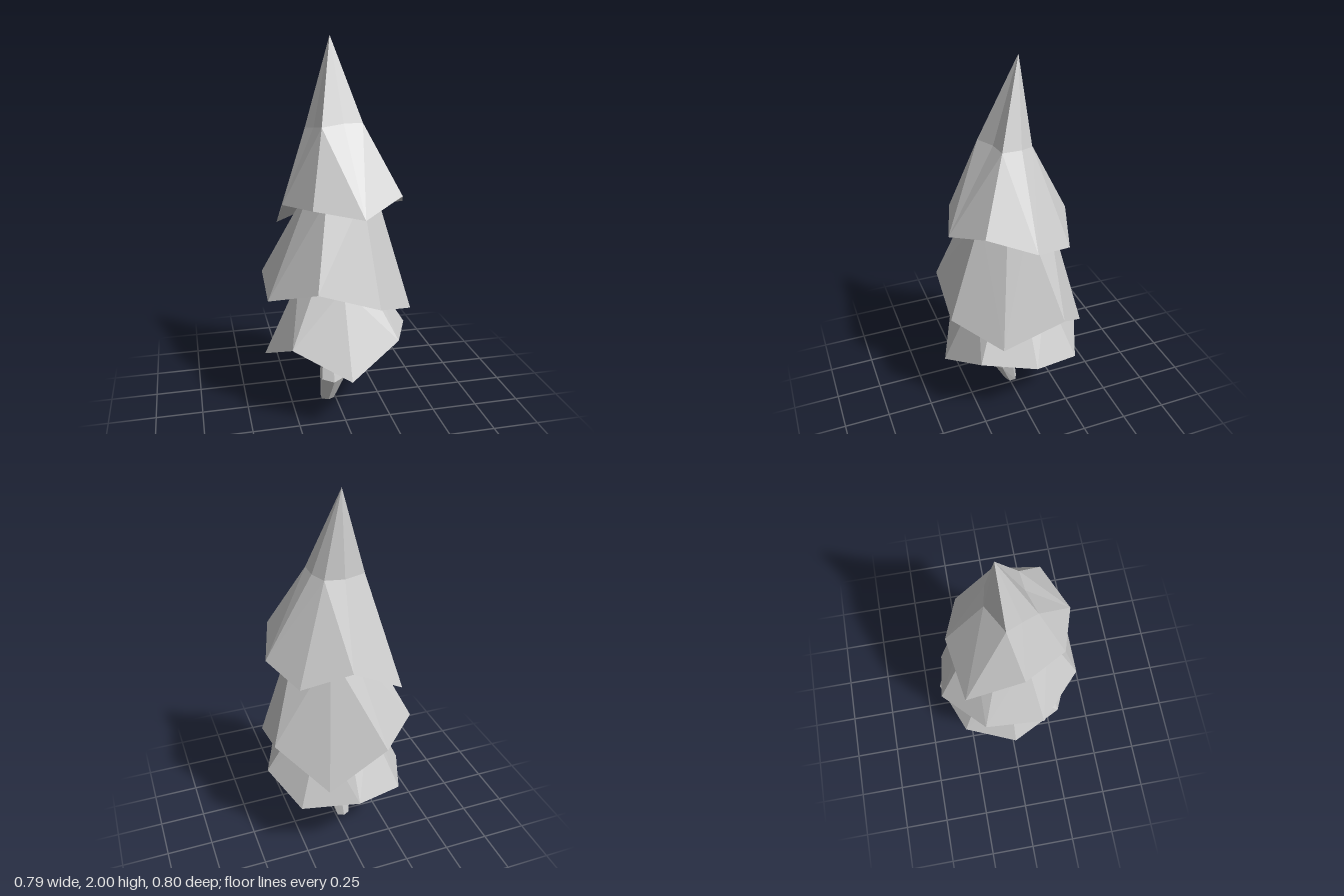
import * as THREE from 'three';

const material = new THREE.MeshStandardMaterial({ color: 0xcccccc, flatShading: true });

// Repeat one point so a ring closes to a tip
const tip = (n, x, y, z) => Array.from({ length: n }, () => [x, y, z]);

// Regular ring of n points; tilt lowers or raises the +z side
function circle(n, cx, y, cz, rx, rz = rx, tilt = 0) {
  return Array.from({ length: n }, (_, i) => {
    const a = (i / n) * Math.PI * 2;
    return [cx + rx * Math.sin(a), y - tilt * Math.cos(a), cz - rz * Math.cos(a)];
  });
}

// True when point s lies in front of triangle p, q, r
function inFront(p, q, r, s) {
  const [P, Q, R, S] = [p, q, r, s].map((v) => new THREE.Vector3(...v));
  return Q.sub(P).cross(R.sub(P)).dot(S.sub(P)) > 0;
}

// Flat-shaded skin through rings listed from bottom to top
function loft(name, rings) {
  const positions = [];
  const same = (p, q) => p.every((v, k) => v === q[k]);
  const tri = (p, q, r) => {
    if (!same(p, q) && !same(q, r) && !same(p, r)) positions.push(...p, ...q, ...r);
  };
  for (let k = 0; k < rings.length - 1; k++) {
    const a = rings[k], b = rings[k + 1], n = a.length;
    for (let i = 0; i < n; i++) {
      const j = (i + 1) % n;
      // Split each quad along its outward-bulging diagonal
      if (inFront(a[j], a[i], b[i], b[j])) {
        tri(a[j], a[i], b[j]);
        tri(a[i], b[i], b[j]);
      } else {
        tri(a[j], a[i], b[i]);
        tri(a[j], b[i], b[j]);
      }
    }
  }
  const geometry = new THREE.BufferGeometry();
  geometry.setAttribute('position', new THREE.Float32BufferAttribute(positions, 3));
  geometry.computeVertexNormals();
  const mesh = new THREE.Mesh(geometry, material);
  mesh.name = name;
  return mesh;
}

// Foliage tier: hollow underside, jagged rim, shoulder ring, tip
function tier(name, under, rim, shoulder, top) {
  return loft(name, [tip(8, ...under), rim, shoulder, tip(8, ...top)]);
}

export function createModel() {
  const tree = new THREE.Group();
  tree.name = 'pineTree';

  // Crooked trunk
  tree.add(loft('trunk', [
    tip(6, -0.045, 0, -0.015),
    circle(6, -0.045, 0, -0.015, 0.04, 0.036),
    circle(6, -0.027, 0.17, 0.035, 0.073, 0.06, -0.025),
    circle(6, -0.017, 0.38, -0.02, 0.054, 0.035),
    circle(6, -0.005, 0.5, -0.04, 0.045, 0.03),
    tip(6, -0.005, 0.5, -0.04),
  ]));

  // Bottom tier
  tree.add(tier('lowerFoliage', [0, 0.45, -0.02],
    [[0, 0.405, -0.4], [0.285, 0.35, -0.275], [0.395, 0.435, 0], [0.28, 0.455, 0.275],
      [0, 0.31, 0.4], [-0.285, 0.455, 0.27], [-0.395, 0.32, 0], [-0.28, 0.345, -0.285]],
    circle(8, 0, 0.74, -0.005, 0.2),
    [0, 0.86, 0]));

  // Middle tier
  tree.add(tier('middleFoliage', [0, 0.75, 0],
    [[-0.155, 0.71, -0.385], [0.155, 0.495, -0.36], [0.385, 0.705, -0.15], [0.37, 0.595, 0.18],
      [0.145, 0.69, 0.39], [-0.17, 0.79, 0.375], [-0.39, 0.69, 0.155], [-0.38, 0.74, -0.17]],
    [[-0.04, 1.21, -0.17], [0.08, 1.22, -0.17], [0.215, 1.22, -0.01], [0.19, 1.23, 0.09],
      [0.095, 1.23, 0.2], [-0.09, 1.22, 0.2], [-0.185, 1.16, 0.08], [-0.16, 1.18, -0.06]],
    [0, 1.32, 0]));

  // Top tier with slender tip
  tree.add(tier('upperFoliage', [0, 1.19, 0],
    [[0.01, 1.16, -0.305], [0.26, 1.07, -0.22], [0.37, 1.14, 0], [0.29, 1.23, 0.24],
      [0.07, 1.15, 0.36], [-0.175, 1.19, 0.28], [-0.29, 1.17, 0.055], [-0.28, 0.99, -0.255]],
    [[-0.02, 1.57, -0.1], [0.08, 1.57, -0.08], [0.12, 1.58, -0.01], [0.12, 1.58, 0.09],
      [0.02, 1.58, 0.1], [-0.1, 1.57, 0.14], [-0.125, 1.56, 0.06], [-0.155, 1.55, -0.02]],
    [-0.02, 2, -0.045]));

  return tree;
}
